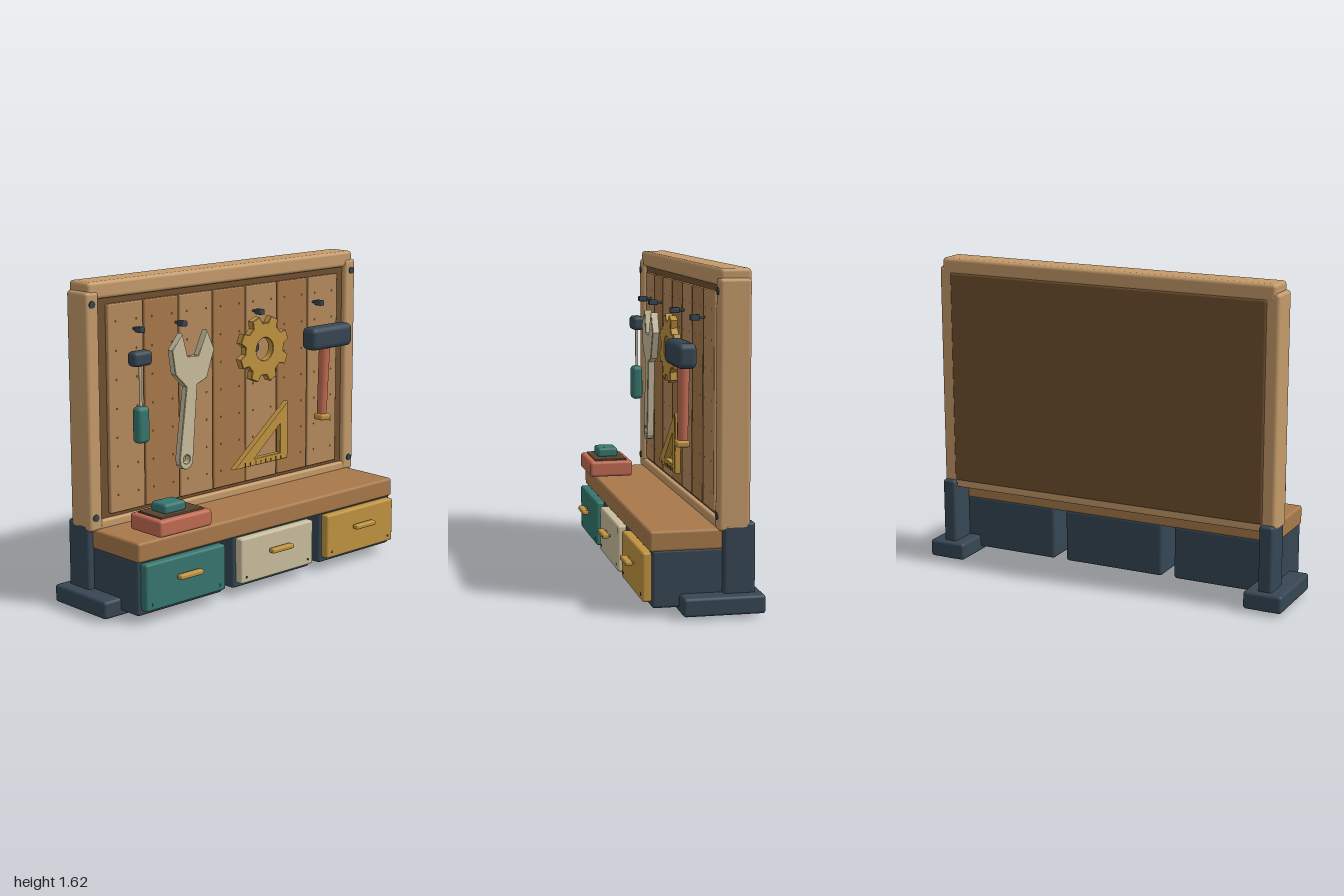
import * as THREE from 'three';
import { RoundedBoxGeometry } from 'three/addons/geometries/RoundedBoxGeometry.js';
import { mergeGeometries } from 'three/addons/utils/BufferGeometryUtils.js';

const paint = (color) => new THREE.MeshStandardMaterial({ color });
const M = {
  frame: paint(0xc49a6a), bench: paint(0xa8794a), plankA: paint(0xb58a5c), plankB: paint(0xa8794a),
  backing: paint(0x70502f), slate: paint(0x364653), teal: paint(0x36756e), cream: paint(0xc8bd9e),
  yellow: paint(0xc09340), red: paint(0xc06a52), dark: paint(0x57432f),
};

function add(parent, name, geometry, material, x = 0, y = 0, z = 0) {
  const mesh = new THREE.Mesh(geometry, material);
  mesh.name = name;
  mesh.position.set(x, y, z);
  parent.add(mesh);
  return mesh;
}

// Rounded box given by its extents on each axis
function box(parent, name, material, [x0, x1], [y0, y1], [z0, z1], r = 0.012) {
  const w = x1 - x0, h = y1 - y0, d = z1 - z0;
  const geo = new RoundedBoxGeometry(w, h, d, 2, Math.min(r, w * 0.45, h * 0.45, d * 0.45));
  return add(parent, name, geo, material, (x0 + x1) / 2, (y0 + y1) / 2, (z0 + z1) / 2);
}

// Disc or rod whose axis runs along z
function rodZ(parent, name, material, r, x, y, z0, z1, sides = 16) {
  const geo = new THREE.CylinderGeometry(r, r, z1 - z0, sides).rotateX(Math.PI / 2);
  return add(parent, name, geo, material, x, y, (z0 + z1) / 2);
}

// Flat tool: outline extruded along z with a fine bevel
function plate(parent, name, material, shape, z0, z1) {
  const b = 0.003;
  const geo = new THREE.ExtrudeGeometry(shape, {
    depth: z1 - z0 - 2 * b, bevelThickness: b, bevelSize: b, bevelOffset: -b, bevelSegments: 1, curveSegments: 16,
  });
  return add(parent, name, geo, material, 0, 0, z0 + b);
}

const outline = (pts) => new THREE.Shape(pts.map(([x, y]) => new THREE.Vector2(x, y)));
function circleHole(x, y, r) {
  const path = new THREE.Path();
  path.absarc(x, y, r, 0, Math.PI * 2, true);
  return path;
}

function buildBoard(root) {
  const board = new THREE.Group();
  board.name = 'toolBoard';
  root.add(board);
  // Frame
  for (const s of [-1, 1]) {
    const xs = s < 0 ? [-0.935, -0.855] : [0.855, 0.935];
    box(board, 'framePost', M.frame, xs, [0.4, 1.58], [-0.247, -0.093], 0.018);
    for (const y of [0.47, 1.52]) rodZ(board, 'frameScrew', M.slate, 0.018, s * 0.9, y, -0.1, -0.088);
  }
  box(board, 'topRail', M.frame, [-0.915, 0.915], [1.54, 1.625], [-0.25, -0.1], 0.018);
  box(board, 'bottomRail', M.frame, [-0.88, 0.88], [0.4, 0.45], [-0.245, -0.097]);
  box(board, 'backPanel', M.backing, [-0.87, 0.87], [0.44, 1.55], [-0.254, -0.12]);
  // Planks with peg holes
  const pitch = 1.605 / 7, holes = [];
  for (let i = 0; i < 7; i++) {
    const x = (i - 3) * pitch;
    box(board, 'plank', i % 2 ? M.plankB : M.plankA, [x - pitch / 2 + 0.004, x + pitch / 2 - 0.004], [0.47, 1.51], [-0.13, -0.1], 0.006);
    for (let row = 0; row < 7; row++) {
      for (const s of [-1, 1]) {
        holes.push(new THREE.CircleGeometry(0.007, 8).translate(x + s * 0.065, 0.56 + row * 0.144, -0.0985));
      }
    }
  }
  add(board, 'pegHoles', mergeGeometries(holes), M.dark);
  // Hooks
  for (const x of [-0.64, -0.367, 0.166, 0.61]) {
    box(board, 'hook', M.slate, [x - 0.016, x + 0.016], [1.362, 1.39], [-0.075, -0.028], 0.005);
    rodZ(board, 'hookStem', M.slate, 0.007, x, 1.376, -0.105, -0.07, 8);
  }
}

function buildBench(root) {
  const bench = new THREE.Group();
  bench.name = 'bench';
  root.add(bench);
  box(bench, 'benchTop', M.bench, [-0.903, 0.903], [0.31, 0.41], [-0.125, 0.23], 0.014);
  // Drawers
  [M.teal, M.cream, M.yellow].forEach((material, i) => {
    const x = (i - 1) * 0.623;
    box(bench, 'drawerBody', M.slate, [x - 0.277, x + 0.277], [0.04, 0.32], [-0.125, 0.217], 0.015);
    box(bench, 'drawerFront', material, [x - 0.258, x + 0.258], [0.068, 0.305], [0.21, 0.26]);
    box(bench, 'drawerHandle', M.yellow, [x - 0.075, x + 0.075], [0.2, 0.225], [0.27, 0.305], 0.008);
    for (const s of [-1, 1]) {
      rodZ(bench, 'handleStem', M.yellow, 0.006, x + s * 0.055, 0.212, 0.255, 0.275, 8);
      rodZ(bench, 'drawerRivet', M.slate, 0.007, x + s * 0.22, 0.1, 0.255, 0.262, 8);
    }
  });
  // Feet
  for (const s of [-1, 1]) {
    const span = (a, b) => (s > 0 ? [a, b] : [-b, -a]);
    box(bench, 'footUpright', M.slate, span(0.862, 0.935), [0, 0.44], [-0.272, -0.118], 0.015);
    box(bench, 'footBase', M.slate, span(0.798, 1), [0.015, 0.105], [-0.307, 0.088], 0.015);
  }
  // Small parts tray
  box(bench, 'tray', M.red, [-0.8, -0.465], [0.424, 0.508], [0.042, 0.273], 0.015);
  box(bench, 'trayInset', M.dark, [-0.77, -0.495], [0.49, 0.517], [0.07, 0.242], 0.004);
  box(bench, 'trayBlock', M.teal, [-0.717, -0.58], [0.51, 0.563], [0.102, 0.212], 0.015);
}

function buildTools(root) {
  const tools = new THREE.Group();
  tools.name = 'hangingTools';
  root.add(tools);
  // Screwdriver
  box(tools, 'screwdriverCap', M.slate, [-0.724, -0.608], [1.205, 1.28], [-0.055, 0.01], 0.02);
  add(tools, 'screwdriverShaft', new THREE.CylinderGeometry(0.008, 0.008, 0.24, 10), M.cream, -0.666, 1.1, -0.022);
  box(tools, 'screwdriverGrip', M.teal, [-0.704, -0.628], [0.822, 1.005], [-0.05, 0.01], 0.022);

  // Wrench
  const wrench = outline([
    [-0.4, 1.333], [-0.467, 1.255], [-0.447, 1.13], [-0.375, 1.06], [-0.423, 0.7], [-0.42, 0.665],
    [-0.4, 0.643], [-0.377, 0.638], [-0.353, 0.645], [-0.337, 0.665], [-0.333, 0.69], [-0.303, 1.065],
    [-0.238, 1.09], [-0.187, 1.23], [-0.236, 1.333], [-0.295, 1.21], [-0.366, 1.215],
  ]);
  wrench.holes.push(circleHole(-0.377, 0.69, 0.022));
  plate(tools, 'wrench', M.cream, wrench, -0.05, -0.012);

  // Gear
  const teeth = [], cx = 0.165, cy = 1.185;
  for (let i = 0; i < 8; i++) {
    for (const [a, r] of [[-0.25, 0.138], [-0.15, 0.175], [0.15, 0.175], [0.25, 0.138]]) {
      const t = 0.36 + (i * Math.PI) / 4 + a;
      teeth.push([cx + r * Math.cos(t), cy + r * Math.sin(t)]);
    }
  }
  const gear = outline(teeth);
  gear.holes.push(circleHole(cx, cy, 0.06));
  plate(tools, 'gear', M.yellow, gear, -0.05, -0.01);
  rodZ(tools, 'gearPeg', M.slate, 0.031, cx, cy, -0.1, -0.085, 20);

  // Set square with ruler marks
  const square = outline([[-0.047, 0.575], [0.34, 0.575], [0.34, 0.885]]);
  square.holes.push(outline([[0.095, 0.613], [0.285, 0.77], [0.285, 0.613]]));
  plate(tools, 'setSquare', M.yellow, square, -0.047, -0.014);
  for (let i = 0; i < 8; i++) {
    add(tools, 'rulerMark', new THREE.BoxGeometry(0.005, i % 2 ? 0.014 : 0.022, 0.003), M.dark, 0.03 + i * 0.037, 0.589, -0.0135);
  }

  // Mallet
  box(tools, 'malletHead', M.slate, [0.452, 0.755], [1.143, 1.266], [-0.033, 0.065], 0.03);
  const handle = new THREE.CylinderGeometry(0.03, 0.026, 0.4, 16);
  add(tools, 'malletHandle', handle, M.red, 0.591, 0.97, 0.001).rotation.z = -0.045;
  const pommel = new RoundedBoxGeometry(0.075, 0.034, 0.066, 2, 0.012);
  add(tools, 'malletPommel', pommel, M.yellow, 0.582, 0.768, 0.005).rotation.z = -0.045;
}

export function createModel() {
  const root = new THREE.Group();
  root.name = 'toolWorkbench';
  buildBoard(root);
  buildBench(root);
  buildTools(root);
  return root;
}
